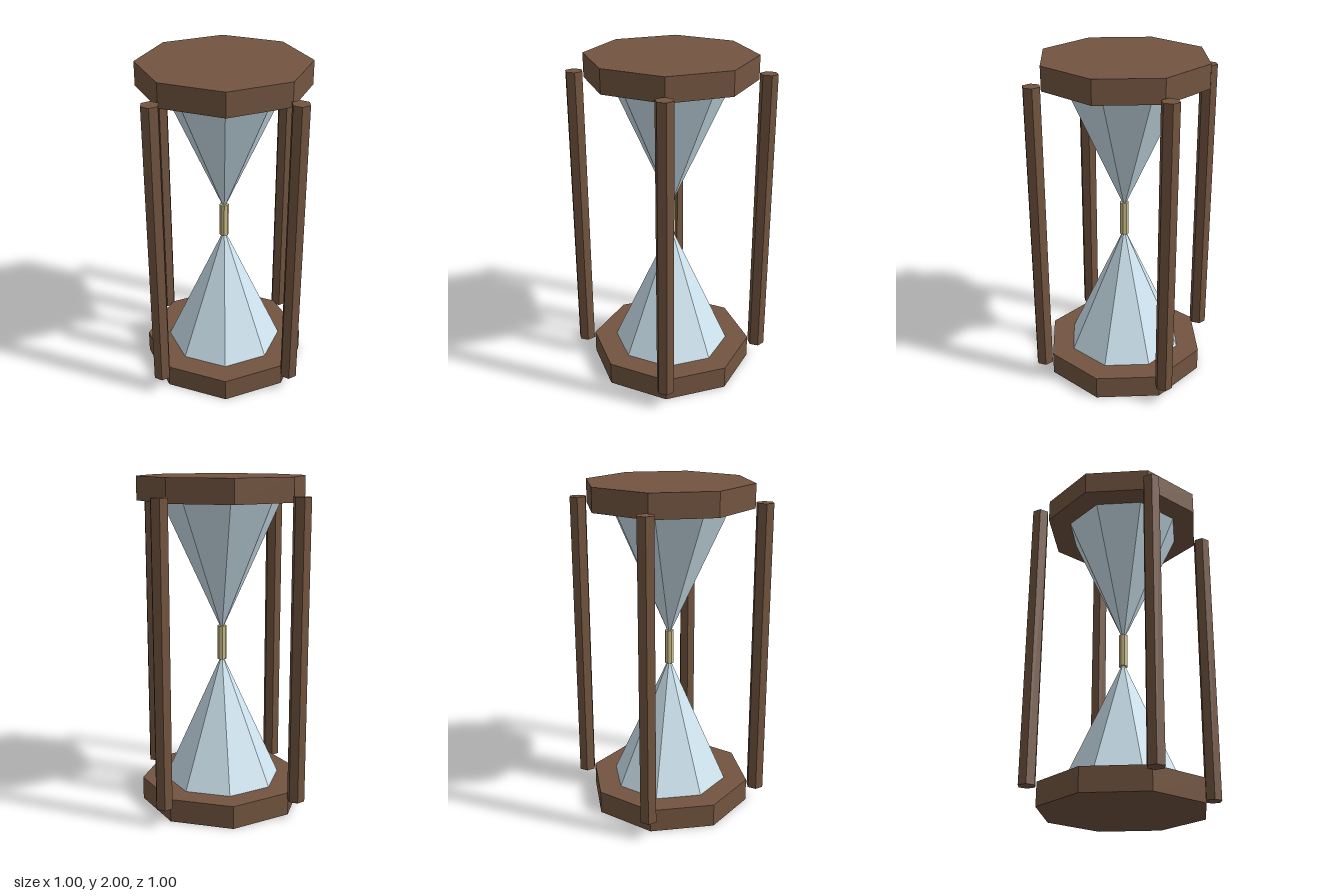
import * as THREE from 'three';

export function createModel() {
  const model = new THREE.Group();
  model.name = 'hourglass';

  const material = (color) => new THREE.MeshStandardMaterial({ color, flatShading: true });
  const wood = material(0x735540);
  const glass = material(0xcfe5f0);
  const brass = material(0xcdbf88);

  // Faceted upright part spanning y0..y1
  function addPrism(name, mat, sides, rTop, rBottom, y0, y1, x = 0, z = 0) {
    const mesh = new THREE.Mesh(new THREE.CylinderGeometry(rTop, rBottom, y1 - y0, sides), mat);
    mesh.position.set(x, (y0 + y1) / 2, z);
    mesh.name = name;
    model.add(mesh);
  }

  // Octagonal end plates
  addPrism('bottomPlate', wood, 8, 0.5, 0.5, 0, 0.14);
  addPrism('topPlate', wood, 8, 0.5, 0.5, 1.86, 2);

  // Glass cones meeting inside the neck
  addPrism('lowerBulb', glass, 8, 0, 0.36, 0.135, 0.925);
  addPrism('upperBulb', glass, 8, 0.36, 0, 1.075, 1.865);

  // Neck sleeve
  addPrism('neck', brass, 8, 0.028, 0.028, 0.896, 1.104);

  // Four hexagonal corner posts
  for (const sx of [-1, 1]) {
    for (const sz of [-1, 1]) {
      const name = (sz > 0 ? 'front' : 'back') + (sx > 0 ? 'Left' : 'Right') + 'Post';
      addPrism(name, wood, 6, 0.053, 0.053, 0.11, 1.895, sx * 0.392, sz * 0.392);
    }
  }

  return model;
}
